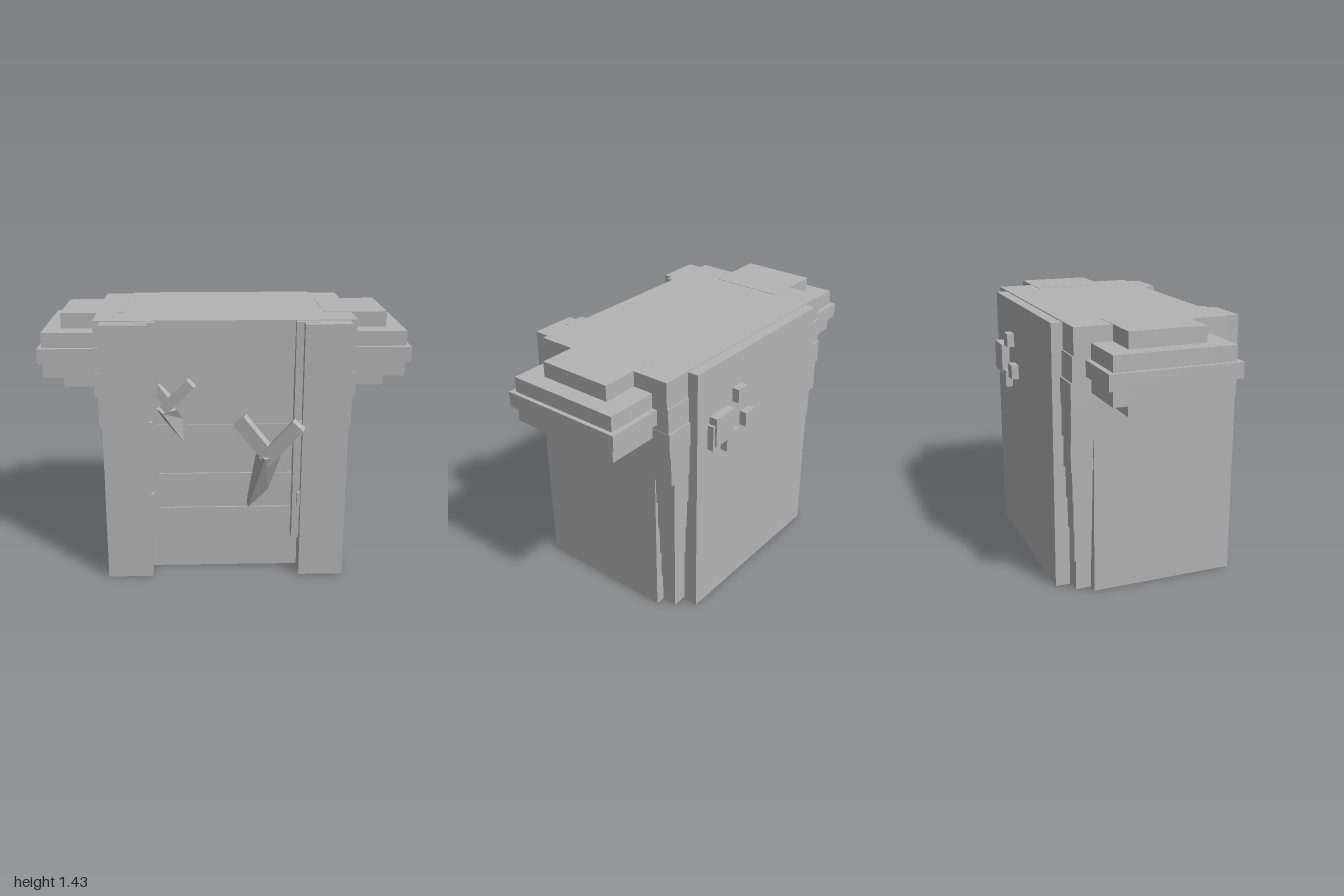
import * as THREE from 'three';

const stone = new THREE.MeshStandardMaterial({ color: 0xb4b4b4 });
stone.name = 'stone grey';

export function createModel() {
  const model = new THREE.Group();
  model.name = 'stoneGate';

  // Box given by its limits on each axis
  function box(name, x0, x1, y0, y1, z0, z1) {
    const mesh = new THREE.Mesh(new THREE.BoxGeometry(x1 - x0, y1 - y0, z1 - z0), stone);
    mesh.position.set((x0 + x1) / 2, (y0 + y1) / 2, (z0 + z1) / 2);
    mesh.name = name;
    model.add(mesh);
  }
  // The same box on both sides
  function pair(name, x0, x1, ...rest) {
    box(name + 'Left', x0, x1, ...rest);
    box(name + 'Right', -x1, -x0, ...rest);
  }

  // Core, back slab and top slab
  box('core', -0.5, 0.5, 0.015, 1.44, -0.4, 0.34);
  box('backSlab', -0.53, 0.53, 0.015, 1.44, -0.495, -0.415);
  box('topSlab', -0.69, 0.69, 1.305, 1.445, -0.435, 0.385);

  // Front slats: bottom, top, front z
  [
    [0.015, 0.3, 0.345], [0.3, 0.38, 0.36], [0.38, 0.505, 0.35], [0.505, 0.585, 0.363],
    [0.585, 0.7, 0.353], [0.7, 0.87, 0.366], [0.87, 1.2, 0.358], [1.2, 1.44, 0.38],
  ].forEach(([y0, y1, z]) => box('frontSlat', -0.45, 0.45, y0, y1, 0.2, z));

  // Side walls ending in front columns, with inner rails and studs
  pair('column', 0.407, 0.652, 0.015, 1.44, -0.32, 0.475);
  pair('rail', 0.367, 0.49, 0.22, 1.442, 0.3, 0.425);
  for (const y of [0.42, 0.83]) pair('stud', 0.39, 0.42, y, y + 0.08, 0.4, 0.452);

  // Stepped bricks up the back corners
  [0.405, 0.415, 0.422, 0.43, 0.44].forEach((z, i) =>
    pair('cornerBrick', 0.45, 0.6 + i * 0.011, 0.015 + i * 0.17, 0.185 + i * 0.17, -z, -0.2));

  // Bands around the upper sides
  pair('lowerBand', 0.45, 0.677, 0.865, 1.035, -0.448, 0.395);
  pair('middleBand', 0.45, 0.692, 1.035, 1.17, -0.452, 0.4);
  pair('upperBand', 0.45, 0.69, 1.17, 1.305, -0.443, 0.395);

  // Stepped bulges at the sides
  pair('bulgeCore', 0.54, 0.885, 1.035, 1.447, -0.233, 0.178);
  pair('bulgeMiddle', 0.54, 0.977, 1.117, 1.363, -0.345, 0.292);
  pair('bulgeRim', 0.54, 1, 1.2, 1.282, -0.373, 0.32);

  // Cluster of small stones on the back
  [
    [0.28, 0.43, 1.01, 1.172, 0.54], [0.405, 0.445, 0.99, 1.13, 0.53],
    [0.165, 0.24, 1.18, 1.255, 0.535], [0.09, 0.167, 1.01, 1.09, 0.535],
    [0.225, 0.33, 0.935, 1.03, 0.535],
  ].forEach(([x0, x1, y0, y1, z]) => box('backStone', x0, x1, y0, y1, -z, -0.48));

  // Square bar between two points
  function bar(name, from, to, width, depth) {
    const a = new THREE.Vector3(...from), b = new THREE.Vector3(...to);
    const along = b.clone().sub(a);
    const mesh = new THREE.Mesh(new THREE.BoxGeometry(width, along.length(), depth), stone);
    const up = along.clone().normalize();
    const out = new THREE.Vector3(-0.26, 0, 0.97);
    const side = up.clone().cross(out).normalize();
    out.crossVectors(side, up);
    mesh.quaternion.setFromRotationMatrix(new THREE.Matrix4().makeBasis(side, up, out));
    mesh.position.copy(a).add(b).multiplyScalar(0.5);
    mesh.name = name;
    model.add(mesh);
  }

  // Four-sided blade between a top and a bottom cross-section
  function blade(name, top, bottom) {
    const pts = [...top, ...bottom], pos = [];
    const quad = (a, b, c, d) => [a, b, c, a, c, d].forEach((i) => pos.push(...pts[i]));
    for (let i = 0; i < 4; i++) quad(i, i + 4, ((i + 1) % 4) + 4, (i + 1) % 4);
    quad(0, 1, 2, 3);
    quad(7, 6, 5, 4);
    const geo = new THREE.BufferGeometry();
    geo.setAttribute('position', new THREE.Float32BufferAttribute(pos, 3));
    geo.computeVertexNormals();
    const mesh = new THREE.Mesh(geo, stone);
    mesh.name = name;
    model.add(mesh);
  }

  // Large forked shoot
  bar('largeShootArmRight', [0.25, 0.7, 0.45], [0.075, 0.915, 0.42], 0.075, 0.065);
  bar('largeShootArmLeft', [0.21, 0.7, 0.47], [0.383, 0.915, 0.52], 0.075, 0.065);
  blade('largeShootBlade',
    [[0.165, 0.74, 0.44], [0.205, 0.725, 0.53], [0.295, 0.73, 0.48], [0.23, 0.74, 0.38]],
    [[0.12, 0.41, 0.34], [0.128, 0.383, 0.37], [0.235, 0.5, 0.39], [0.2, 0.52, 0.3]]);

  // Small forked shoot
  bar('smallShootArmRight', [-0.3, 1.0, 0.39], [-0.37, 1.085, 0.36], 0.05, 0.05);
  bar('smallShootArmLeft', [-0.325, 0.98, 0.43], [-0.18, 1.132, 0.465], 0.055, 0.05);
  blade('smallShootBlade',
    [[-0.37, 0.975, 0.4], [-0.335, 0.965, 0.465], [-0.26, 0.975, 0.43], [-0.3, 0.985, 0.36]],
    [[-0.31, 0.86, 0.34], [-0.225, 0.77, 0.37], [-0.23, 0.91, 0.38], [-0.26, 0.92, 0.33]]);

  return model;
}
